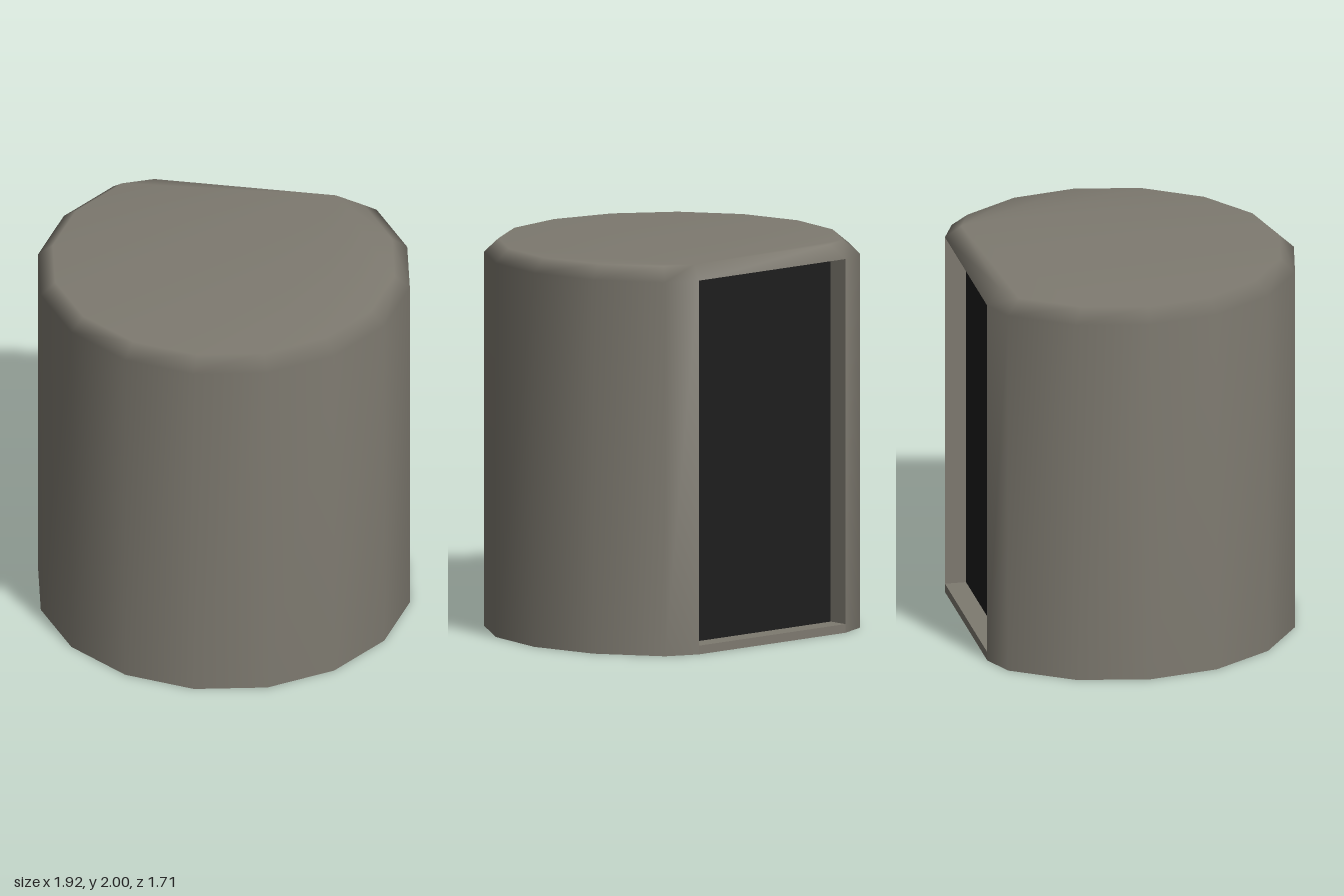
import * as THREE from 'three';

const SHOULDER = 1.93, TOP = 2, SILL = 0.045, BACK = -0.86, DEPTH = 0.11, HALF = 0.51;

export function createModel() {
  const model = new THREE.Group();
  const stone = new THREE.MeshStandardMaterial({ color: 0x7e7a70, side: THREE.DoubleSide });
  stone.name = 'warm grey';
  const dark = new THREE.MeshStandardMaterial({ color: 0x1d1d1d, side: THREE.DoubleSide });
  dark.name = 'near black';

  const add = (name, geometry, material) => {
    const mesh = new THREE.Mesh(geometry, material);
    mesh.name = name;
    model.add(mesh);
    return mesh;
  };
  const build = (positions, index) => {
    const g = new THREE.BufferGeometry();
    g.setAttribute('position', new THREE.Float32BufferAttribute(positions, 3));
    g.setIndex(index);
    g.computeVertexNormals();
    return g;
  };

  // Outline: sixteen-sided drum with its back cut flat
  const outline = [[HALF, BACK]];
  for (let k = 6; k >= -6; k--) {
    const t = k * Math.PI / 8;
    outline.push([0.96 * Math.sin(t), -0.11 + 0.96 * Math.cos(t)]);
  }
  outline.push([-HALF, BACK]);
  const n = outline.length;
  const ring = (y, sx = 1, sz = 1) => outline.flatMap(([x, z]) => [x * sx, y, z * sz]);

  // Smooth shell: side wall, bevel and cap, open at the flat back
  const index = [];
  const quad = (low, i, j) => {
    const a = low + i, b = low + j;
    index.push(a, a + n, b, b, a + n, b + n);
  };
  for (let i = 0; i < n - 1; i++) quad(0, i, i + 1);
  for (let i = 0; i < n; i++) quad(n, i, (i + 1) % n);
  for (let i = 1; i < n - 1; i++) index.push(2 * n, 2 * n + i + 1, 2 * n + i);
  add('shell', build([...ring(0), ...ring(SHOULDER), ...ring(TOP, 0.92, 0.91)], index), stone);

  // Flat underside
  const under = [];
  for (let i = 1; i < n - 1; i++) under.push(0, i, i + 1);
  add('base', build(ring(0), under), stone);

  // Recess in the back: lip, sill, ceiling and side walls
  const height = SHOULDER - SILL, midY = (SHOULDER + SILL) / 2, midZ = BACK + DEPTH / 2;
  const plane = (name, w, h, pos, rot, material = stone) => {
    const mesh = add(name, new THREE.PlaneGeometry(w, h), material);
    mesh.position.set(...pos);
    mesh.rotation.set(...rot);
  };
  plane('recessLip', 2 * HALF, SILL, [0, SILL / 2, BACK], [0, Math.PI, 0]);
  plane('recessSill', 2 * HALF, DEPTH, [0, SILL, midZ], [-Math.PI / 2, 0, 0]);
  plane('recessCeiling', 2 * HALF, DEPTH, [0, SHOULDER, midZ], [Math.PI / 2, 0, 0]);
  for (const s of [-1, 1]) {
    plane(s > 0 ? 'recessWallLeft' : 'recessWallRight', DEPTH, height,
      [s * HALF, midY, midZ], [0, -s * Math.PI / 2, 0]);
  }

  // Dark panel at the rear of the recess
  plane('darkPanel', 2 * HALF, height, [0, midY, BACK + DEPTH], [0, Math.PI, 0], dark);
  return model;
}
